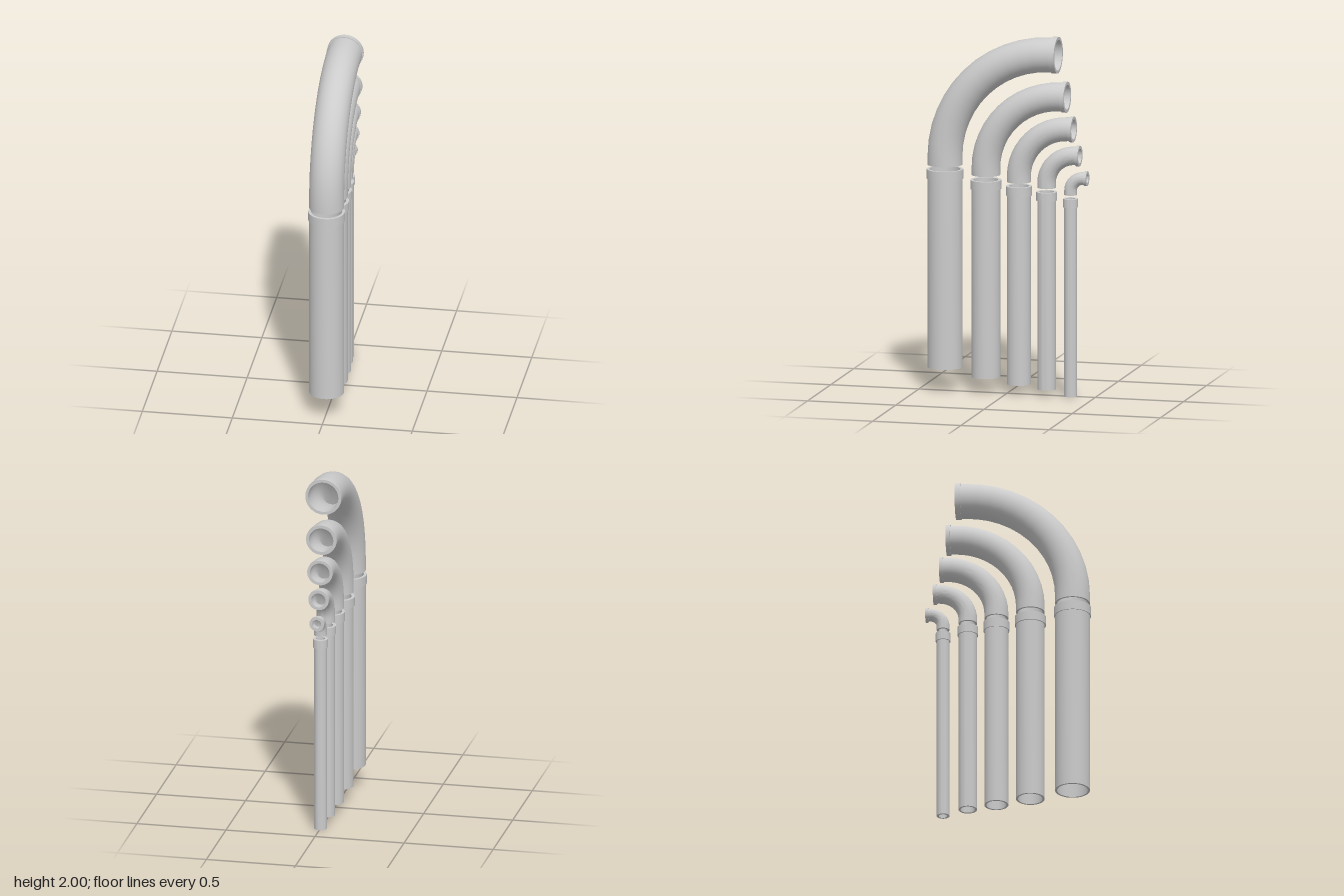
import * as THREE from 'three';
import { toCreasedNormals } from 'three/addons/utils/BufferGeometryUtils.js';

const SIDES = 40;
const WALL = 0.011;
const ARC_STEPS = 12;

// z centre, radius, collar radius, bottom, top, collar height, elbow bottom, elbow axis height, elbow end z, elbow collar length
const PIPES = [
  [0.352, 0.096, 0.101, 0.13, 1.235, 0.053, 1.26, 1.899, -0.29, 0.03],
  [0.12, 0.079, 0.0855, 0.087, 1.186, 0.051, 1.214, 1.667, -0.341, 0.024],
  [-0.067, 0.066, 0.071, 0.056, 1.16, 0.052, 1.183, 1.489, -0.378, 0.02],
  [-0.224, 0.051, 0.057, 0.034, 1.135, 0.048, 1.158, 1.342, -0.413, 0.018],
  [-0.36, 0.035, 0.041, 0, 1.103, 0.048, 1.124, 1.218, -0.456, 0.016],
];

// Hollow tube with a raised collar at its far end; "rows" are extra rings along the wall
function hollowTube(r, collarR, length, collarLength, rows = []) {
  const bore = r - WALL;
  const shoulder = length - collarLength;
  const points = [
    [r, 0], ...rows.map((s) => [r, s]), [r, shoulder],
    [collarR, shoulder], [collarR, length], [bore, length],
    ...rows.slice().reverse().map((s) => [bore, s]), [bore, 0], [r, 0],
  ].map(([x, y]) => new THREE.Vector2(x, y));
  return new THREE.LatheGeometry(points, SIDES);
}

// Quarter bend from upright to pointing backwards, with a straight stub at each end
function elbow(r, collarR, rise, reach, collarLength) {
  const stub = collarLength * 1.5;
  const bendY = rise - stub;
  const bendZ = reach - stub;
  const arc = bendY * Math.PI / 2;
  const rows = [];
  for (let i = 0; i <= ARC_STEPS; i++) rows.push(stub + arc * i / ARC_STEPS);
  const geometry = hollowTube(r, collarR, stub * 2 + arc, collarLength, rows);
  const pos = geometry.attributes.position;
  for (let i = 0; i < pos.count; i++) {
    const s = pos.getY(i) - stub;
    const offset = pos.getZ(i);
    if (s <= 0) continue;
    const angle = Math.min(s / bendY, Math.PI / 2);
    const extra = Math.max(0, s - arc);
    pos.setY(i, stub + (bendY + offset) * Math.sin(angle));
    pos.setZ(i, -bendZ + (bendZ + offset) * Math.cos(angle) - extra);
  }
  return geometry;
}

export function createModel() {
  const model = new THREE.Group();
  model.name = 'pipeSet';
  const material = new THREE.MeshStandardMaterial({ color: 0xcccccc, side: THREE.DoubleSide });
  const add = (parent, name, geometry, y) => {
    const mesh = new THREE.Mesh(toCreasedNormals(geometry, 0.6), material);
    mesh.name = name;
    mesh.position.y = y;
    parent.add(mesh);
  };

  PIPES.forEach(([z, r, collarR, bottom, top, collarH, elbowY, axisY, endZ, collarL], i) => {
    const pipe = new THREE.Group();
    pipe.name = `pipe${i + 1}`;
    pipe.position.z = z;
    add(pipe, 'straightPipe', hollowTube(r, collarR, top - bottom, collarH), bottom);
    add(pipe, 'elbowPipe', elbow(r, collarR, axisY - elbowY, z - endZ, collarL), elbowY);
    model.add(pipe);
  });
  return model;
}
